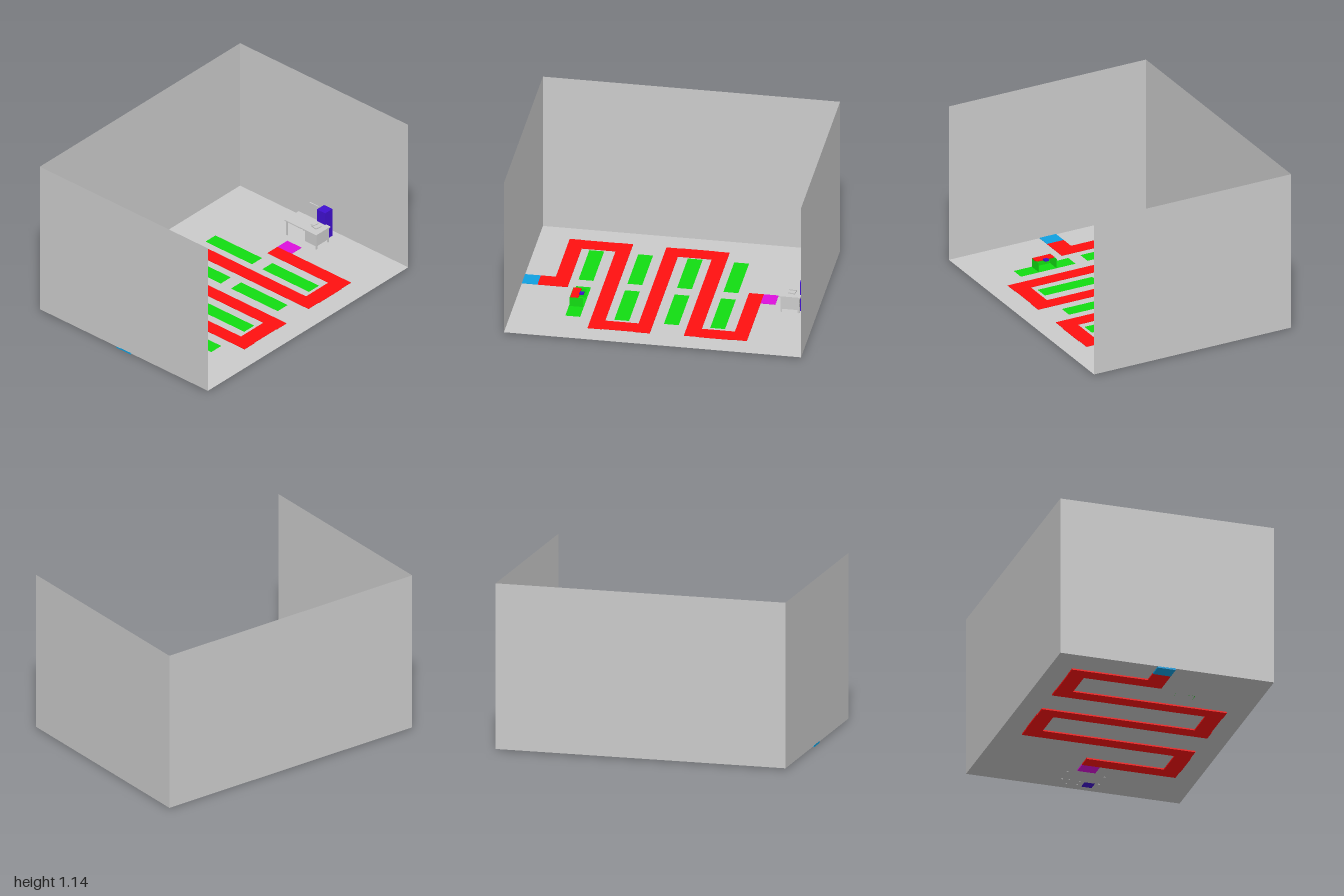
import * as THREE from 'three';

const material = (color) => new THREE.MeshStandardMaterial({ color, side: THREE.DoubleSide });
const GREY = material(0xcccccc), RED = material(0xff1010), GREEN = material(0x12dd12);
const PURPLE = material(0x4010d0), MAGENTA = material(0xdd10dd), BLUE = material(0x10a0e0);
const FLOOR = 0.01;

// Box given by its limits on each axis
function box(parent, name, mat, [x0, x1], [y0, y1], [z0, z1]) {
  const mesh = new THREE.Mesh(new THREE.BoxGeometry(x1 - x0, y1 - y0, z1 - z0), mat);
  mesh.position.set((x0 + x1) / 2, (y0 + y1) / 2, (z0 + z1) / 2);
  mesh.name = name;
  parent.add(mesh);
  return mesh;
}

function plane(parent, name, mat, w, h, pos, rot) {
  const mesh = new THREE.Mesh(new THREE.PlaneGeometry(w, h), mat);
  mesh.position.set(...pos);
  mesh.rotation.set(...rot);
  mesh.name = name;
  parent.add(mesh);
}

function group(parent, name) {
  const g = new THREE.Group();
  g.name = name;
  parent.add(g);
  return g;
}

function buildRoom(root) {
  const room = group(root, 'room');
  const h = 1.128, y = FLOOR + h / 2;
  plane(room, 'floor', GREY, 1.49, 2, [0, FLOOR, 0], [-Math.PI / 2, 0, 0]);
  plane(room, 'frontWall', GREY, 1.49, h, [0, y, 1], [0, 0, 0]);
  plane(room, 'backWall', GREY, 1.49, h, [0, y, -1], [0, 0, 0]);
  plane(room, 'sideWall', GREY, 2, h, [-0.745, y, 0], [0, Math.PI / 2, 0]);
}

// Winding walkway, from the entry at the front to the end tile by the desk
function buildPath(root) {
  const path = group(root, 'path');
  const y = [0, 0.013];
  box(path, 'entryTile', BLUE, [-0.065, 0.06], y, [0.894, 1]);
  box(path, 'endTile', MAGENTA, [-0.065, 0.06], y, [-0.706, -0.607]);
  const rows = [
    [-0.065, 0.586, -0.607, -0.507],
    [-0.59, 0.586, -0.284, -0.183],
    [-0.59, 0.594, 0.045, 0.141],
    [-0.595, 0.594, 0.366, 0.464],
    [-0.595, 0.06, 0.692, 0.793],
  ];
  rows.forEach(([x0, x1, z0, z1], i) => {
    box(path, 'pathRow', RED, [x0, x1], y, [z0, z1]);
    if (i === rows.length - 1) return;
    const x = i % 2 ? [-0.593, -0.48] : [0.475, 0.59];
    box(path, 'pathTurn', RED, x, y, [z1, rows[i + 1][2]]);
  });
  box(path, 'pathEntry', RED, [-0.065, 0.06], y, [0.793, 0.894]);
}

// Flat green plots between the rows of the walkway
function buildPlots(root) {
  const plots = group(root, 'plots');
  for (const z of [-0.387, -0.075, 0.259, 0.588]) {
    for (const x of [-0.257, 0.247]) {
      plane(plots, 'plot', GREEN, 0.413, 0.1, [x, FLOOR + 0.003, z], [-Math.PI / 2, 0, 0]);
    }
  }
}

// Small sales stand on the front plot
function buildStand(root) {
  const stand = group(root, 'stand');
  for (const x of [0.18, 0.313]) {
    box(stand, 'standSide', GREEN, [x, x + 0.004], [FLOOR, 0.079], [0.543, 0.635]);
  }
  box(stand, 'standFront', GREEN, [0.184, 0.313], [FLOOR, 0.074], [0.629, 0.634]);
  box(stand, 'counter', RED, [0.18, 0.317], [0.074, 0.08], [0.576, 0.63]);
  box(stand, 'till', PURPLE, [0.234, 0.265], [0.074, 0.085], [0.549, 0.578]);
}

function buildDesk(root) {
  const desk = group(root, 'desk');
  box(desk, 'deskTop', GREY, [-0.128, 0.154], [0.122, 0.13], [-0.89, -0.748]);
  for (const x of [-0.122, 0.138]) {
    for (const z of [-0.882, -0.766]) {
      box(desk, 'deskLeg', GREY, [x, x + 0.01], [0.006, 0.122], [z, z + 0.01]);
    }
  }
  box(desk, 'pedestal', GREY, [0.045, 0.146], [0.032, 0.122], [-0.874, -0.758]);
  for (let i = 0; i < 3; i++) {
    const y = 0.035 + i * 0.029;
    box(desk, 'drawer', GREY, [0.049, 0.142], [y, y + 0.026], [-0.878, -0.874]);
  }
  // Telephone: a tilted body with a handset, and a pen beside it
  const phone = group(desk, 'telephone');
  box(phone, 'phoneBody', GREY, [-0.022, 0.022], [0, 0.008], [-0.024, 0.024]);
  box(phone, 'handset', GREY, [-0.022, -0.01], [0.008, 0.015], [-0.026, 0.026]);
  phone.position.set(0.088, 0.13, -0.825);
  phone.rotation.y = -0.15;
  box(desk, 'pen', GREY, [0.036, 0.048], [0.13, 0.134], [-0.828, -0.823]);
}

function buildChair(root) {
  const chair = group(root, 'chair');
  box(chair, 'chairSeat', GREY, [-0.07, 0.012], [0.083, 0.091], [-0.938, -0.87]);
  box(chair, 'chairBack', GREY, [-0.07, 0.012], [0.091, 0.205], [-0.938, -0.93]);
  for (const x of [-0.07, 0.004]) {
    for (const z of [-0.938, -0.878]) {
      box(chair, 'chairLeg', GREY, [x, x + 0.008], [0.006, 0.083], [z, z + 0.008]);
    }
  }
}

export function createModel() {
  const root = new THREE.Group();
  root.name = 'shopRoom';
  buildRoom(root);
  buildPath(root);
  buildPlots(root);
  buildStand(root);
  buildDesk(root);
  buildChair(root);
  box(root, 'cabinet', PURPLE, [0.042, 0.115], [FLOOR, 0.222], [-0.952, -0.88]);
  return root;
}
